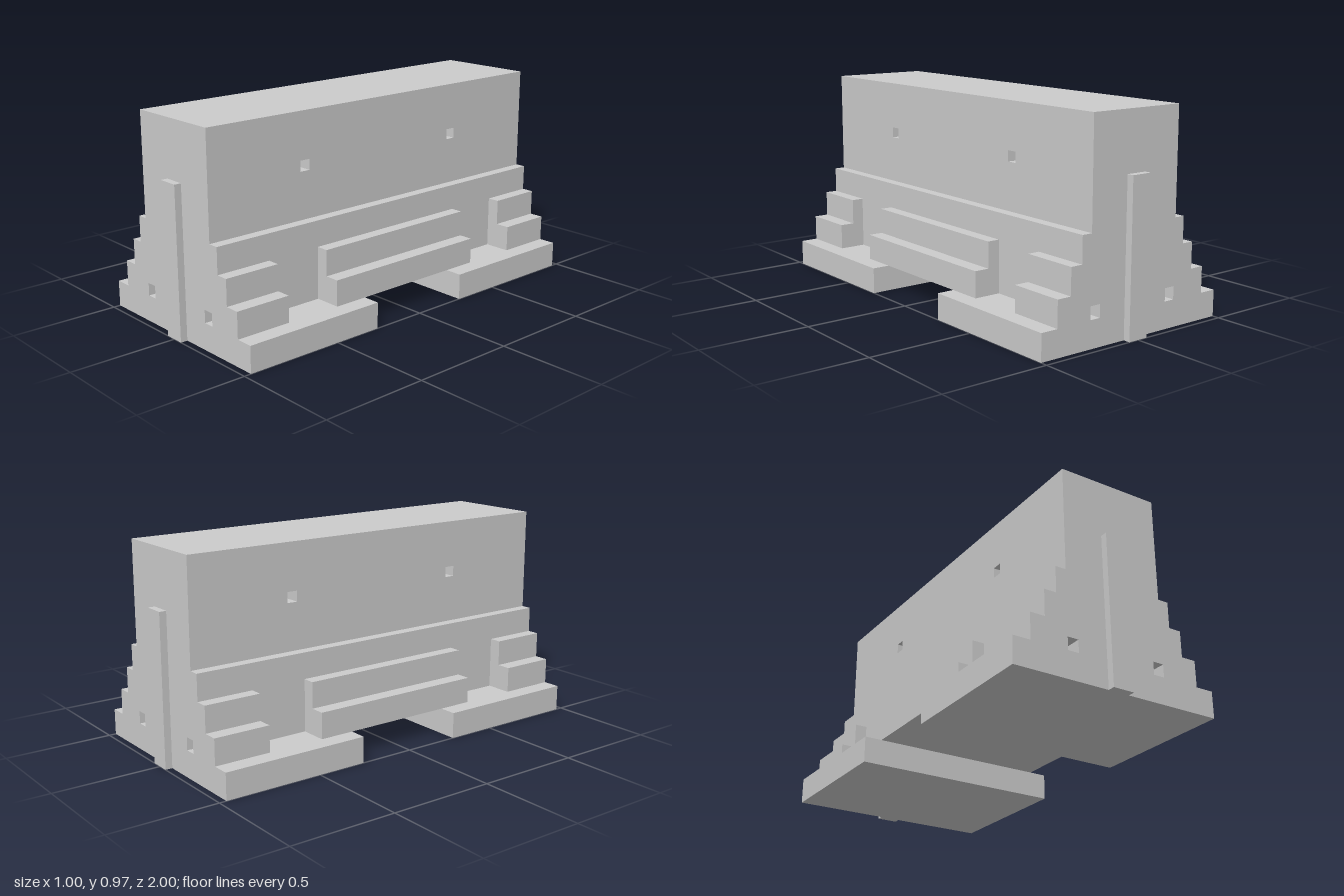
import * as THREE from 'three';

const material = new THREE.MeshStandardMaterial({ color: 0xcccccc, flatShading: true });

function rectPoints(x0, y0, x1, y1) {
  return [[x0, y0], [x1, y0], [x1, y1], [x0, y1]].map(([x, y]) => new THREE.Vector2(x, y));
}

// Rectangle with rectangular holes, extruded symmetrically about z = 0
function piercedBlock(outer, holes, depth) {
  const shape = new THREE.Shape(rectPoints(...outer));
  for (const h of holes) shape.holes.push(new THREE.Path(rectPoints(...h).reverse()));
  return new THREE.ExtrudeGeometry(shape, { depth, bevelEnabled: false }).translate(0, 0, -depth / 2);
}

export function createModel() {
  const group = new THREE.Group();
  const END = 0.967;      // half length of the body
  const BASE = 0.122;     // height of the base slabs

  function add(name, geometry) {
    const mesh = new THREE.Mesh(geometry, material);
    mesh.name = name;
    group.add(mesh);
  }
  // Box given by its limits on each axis
  function addBox(name, [x0, x1], [y0, y1], [z0, z1]) {
    const g = new THREE.BoxGeometry(x1 - x0, y1 - y0, z1 - z0);
    add(name, g.translate((x0 + x1) / 2, (y0 + y1) / 2, (z0 + z1) / 2));
  }
  const span = (side, a, b) => (side > 0 ? [a, b] : [-b, -a]);

  // Upper wall with two square holes running across it
  const wall = piercedBlock(
    [-END, 0.485, END, 0.97],
    [-0.456, 0.456].map((z) => [z - 0.025, 0.703, z + 0.025, 0.752]),
    0.48
  );
  add('upperWall', wall.rotateY(Math.PI / 2));

  // Lower core with two tunnels running along its length
  add('lowerCore', piercedBlock(
    [-0.29, BASE, 0.29, 0.485],
    [-0.215, 0.215].map((x) => [x - 0.026, BASE + 0.002, x + 0.026, 0.183]),
    END * 2
  ));

  // Two base slabs and the upright end strips
  for (const end of [1, -1]) {
    addBox('baseSlab', [-0.5, 0.5], [0, BASE], span(end, 0.265, END));
    addBox('endStrip', [-0.05, 0.05], [0, 0.703], span(end, END, 1));
  }

  // Stepped ledges in three sections on each side
  for (const side of [1, -1]) {
    for (const z of [[-END, -0.7], [-0.43, 0.43], [0.7, END]]) {
      addBox('upperStep', span(side, 0.29, 0.348), [BASE, 0.364], z);
      addBox('lowerStep', span(side, 0.348, 0.417), [BASE, 0.243], z);
    }
  }
  return group;
}
